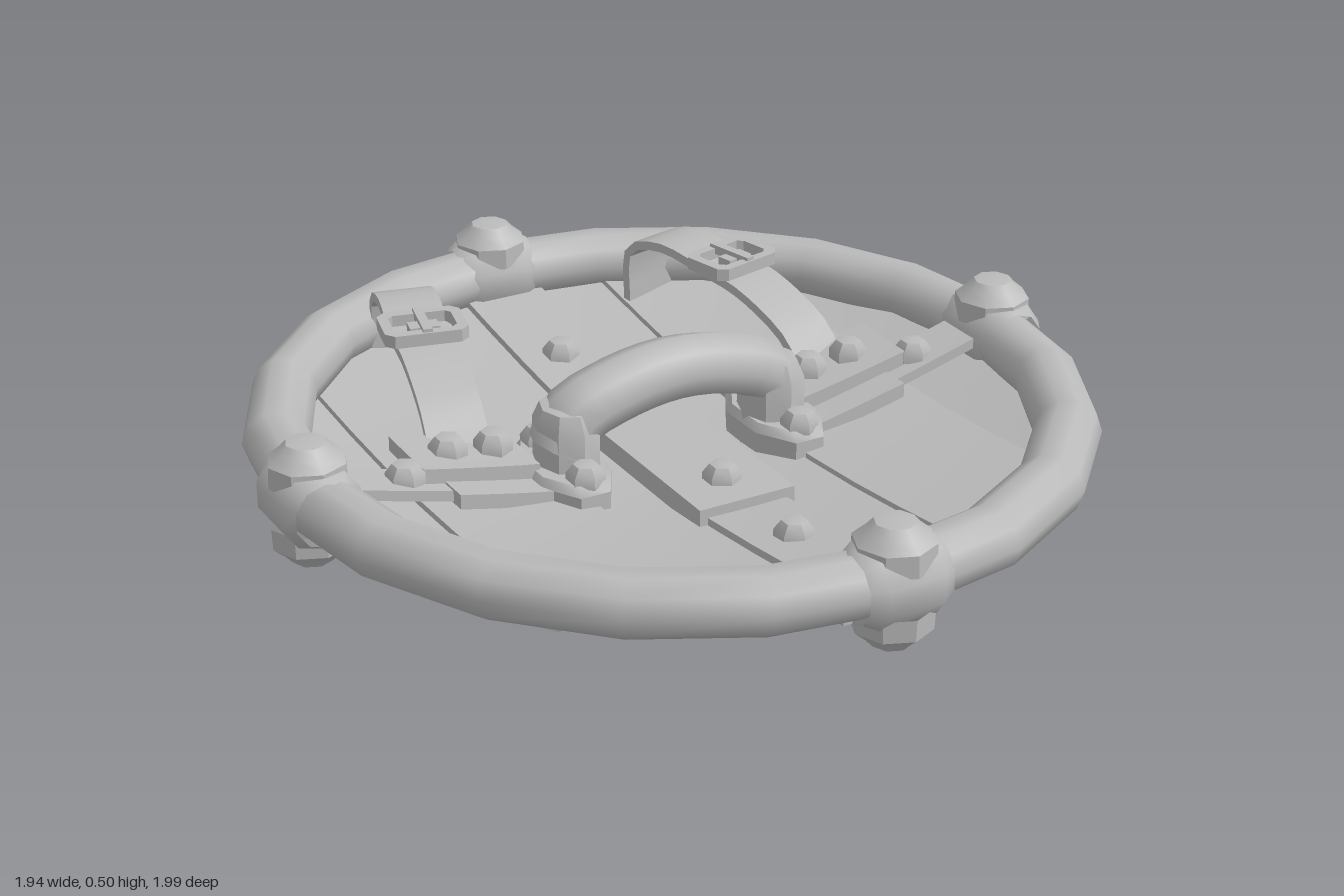
import * as THREE from 'three';
import { toCreasedNormals } from 'three/addons/utils/BufferGeometryUtils.js';

const RX = 0.878, RZ = 0.904, RIM_Y = 0.33;
const grey = new THREE.MeshStandardMaterial({ color: 0xbababa });
grey.name = 'plain grey';

// Height of the dished board surface
const dish = (x, z) => 0.19 + 0.1 * Math.pow(Math.hypot(x, z) / 0.9, 1.5);

export function createModel() {
  const root = new THREE.Group();
  root.name = 'roundShield';

  function add(name, geo, x = 0, y = 0, z = 0, parent = root, crease = 0.65) {
    const mesh = new THREE.Mesh(toCreasedNormals(geo, crease), grey);
    mesh.name = name;
    mesh.position.set(x, y, z);
    parent.add(mesh);
    return mesh;
  }

  const lathe = (pts, sides) =>
    new THREE.LatheGeometry(pts.map(p => new THREE.Vector2(p[0], p[1])), sides);

  // Slab bent to the dish and trimmed to the rim; tilt steepens it towards the sides
  function slab(name, x0, x1, z0, z1, lift, thick, tilt = 0, from = 0.62) {
    const g = new THREE.BoxGeometry(1, 1, 1, 6, 1, 10);
    const p = g.attributes.position;
    for (let i = 0; i < p.count; i++) {
      const x = x0 + (x1 - x0) * (p.getX(i) + 0.5);
      const edge = RZ * Math.sqrt(Math.max(0, 1 - (x / RX) ** 2));
      const z = THREE.MathUtils.clamp(z0 + (z1 - z0) * (p.getZ(i) + 0.5), -edge, edge);
      const rise = tilt * Math.max(0, Math.abs(x) - from);
      p.setXYZ(i, x, dish(x, z) + lift + rise + thick * (p.getY(i) - 0.5), z);
    }
    return add(name, g);
  }

  // Boards, the outermost two leaning up to the rim
  slab('middleBoard', -0.262, 0.262, -0.9, 0.9, 0, 0.03);
  for (const s of [-1, 1]) {
    slab('innerBoard', s * 0.445 - 0.18, s * 0.445 + 0.18, -0.9, 0.9, 0.01, 0.034);
    slab('outerBoard', s * 0.745 - 0.128, s * 0.745 + 0.128, -0.9, 0.9, -0.006, 0.034, 0.17);
  }

  // Rim: softly faceted ring
  const rim = new THREE.TorusGeometry(1, 0.076, 10, 20);
  rim.rotateX(Math.PI / 2);
  const rp = rim.attributes.position;
  for (let i = 0; i < rp.count; i++) {
    const x = rp.getX(i), z = rp.getZ(i), r = Math.hypot(x, z), off = r - 1;
    rp.setXYZ(i, (x / r) * (RX + off), RIM_Y + rp.getY(i) * 0.95, (z / r) * (RZ + off));
  }
  add('rim', rim, 0, 0, 0, root, 1.0);

  // Cross straps, inside and outside
  slab('innerLongStrap', -0.1, 0.1, -0.88, 0.88, 0.018, 0.025);
  slab('outerLongStrap', -0.1, 0.1, -0.88, 0.88, -0.028, 0.025);
  slab('outerCrossStrap', -0.87, 0.87, -0.09, 0.09, -0.028, 0.025);

  // Rivets
  const rivetPts = [[0.044, -0.01], [0.044, 0.015], [0.028, 0.036], [0, 0.042]];
  const rivet = (x, y, z) => add('rivet', lathe(rivetPts, 6), x, y, z);
  for (const z of [-0.53, 0.53]) rivet(0, dish(0, z) + 0.018, z);
  for (const z of [-0.23, 0.23]) rivet(0, 0.255, z);
  for (const [x, z] of [[-0.47, 0], [0.47, 0], [0, 0.33], [0, -0.43]]) {
    const m = add('outerRivet', lathe([[0.06, -0.01], [0.06, 0.015], [0.04, 0.038], [0, 0.044]], 8),
      x, dish(x, z) - 0.05, z);
    m.rotation.x = Math.PI;
  }

  // Centre plate and grip
  add('gripPlate', new THREE.BoxGeometry(0.24, 0.05, 0.68), 0, 0.23, 0);
  const grip = new THREE.CatmullRomCurve3([[-0.28, 0.3], [-0.25, 0.365], [-0.14, 0.41], [0, 0.43],
    [0.14, 0.41], [0.25, 0.365], [0.28, 0.3]].map(p => new THREE.Vector3(p[0], p[1], 0)));
  add('grip', new THREE.TubeGeometry(grip, 16, 0.072, 8), 0, 0, 0, root, 1.0).scale.z = 1.15;

  for (const s of [-1, 1]) {
    // Grip socket on its bolted base
    const post = lathe([[0.1, 0.2], [0.09, 0.28], [0.09, 0.36], [0.07, 0.4], [0, 0.41]], 8);
    add('gripSocket', post, s * 0.265, 0, 0).scale.x = 0.8;
    const base = lathe([[0.17, 0.2], [0.17, 0.25], [0.15, 0.27], [0, 0.27]], 8);
    base.rotateY(Math.PI / 8);
    add('socketBase', base, s * 0.275, 0, 0).scale.x = 0.56;
    for (const z of [-0.11, 0.11]) rivet(s * 0.275, 0.27, z);

    // Side band with its riveted tab
    const ends = (a, b) => (s > 0 ? [a, b] : [-b, -a]);
    slab('innerCrossStrap', ...ends(0.3, 0.87), -0.06, 0.06, 0.025, 0.025, 0.12, 0.35);
    slab('sideBand', ...ends(0.3, 0.57), -0.1, 0.095, 0.035, 0.035, 0.1, 0.35);
    slab('strapTab', ...ends(0.34, 0.62), -0.16, 0.02, 0.07, 0.035, 0.08, 0.35);
    for (const x of [0.41, 0.52]) rivet(s * x, dish(x, 0.07) + 0.085, -0.07);
    rivet(s * 0.655, dish(0.655, 0) + 0.065, 0);

    // Leather arm strap swept along an arch
    const path = new THREE.CatmullRomCurve3([[0.47, 0.29, -0.12], [0.46, 0.35, -0.17],
      [0.43, 0.415, -0.32], [0.405, 0.432, -0.45], [0.365, 0.45, -0.6], [0.34, 0.41, -0.7],
      [0.34, 0.27, -0.71]].map(p => new THREE.Vector3(s * p[0], p[1], p[2])));
    const g = new THREE.BoxGeometry(0.14, 0.022, 1, 1, 1, 18);
    const p = g.attributes.position;
    const side = new THREE.Vector3(0.97, 0, -0.235 * s);
    for (let i = 0; i < p.count; i++) {
      const t = p.getZ(i) + 0.5;
      const n = path.getTangentAt(t).cross(side).normalize();
      const v = path.getPointAt(t).addScaledVector(side, p.getX(i)).addScaledVector(n, p.getY(i));
      p.setXYZ(i, v.x, v.y, v.z);
    }
    add('armStrap', g);

    // Buckle
    const buckle = new THREE.Group();
    buckle.name = 'buckle';
    buckle.position.set(s * 0.41, 0.442, -0.42);
    buckle.rotation.y = s * 0.235;
    root.add(buckle);
    const rect = (outline, w, h, c) => outline.setFromPoints(
      [[w - c, -h], [w, -h + c], [w, h - c], [w - c, h], [-w + c, h], [-w, h - c],
        [-w, -h + c], [-w + c, -h]].map(q => new THREE.Vector2(...q)));
    const frame = rect(new THREE.Shape(), 0.097, 0.07, 0.02);
    frame.holes.push(rect(new THREE.Path(), 0.073, 0.046, 0.012));
    const fg = new THREE.ExtrudeGeometry(frame, { depth: 0.03, bevelEnabled: false });
    fg.rotateX(-Math.PI / 2);
    add('buckleFrame', fg, 0, 0, 0, buckle);
    add('bucklePin', new THREE.BoxGeometry(0.022, 0.022, 0.13), 0, 0.027, 0, buckle);
    add('buckleBar', new THREE.BoxGeometry(0.07, 0.024, 0.04), 0, 0.015, 0.01, buckle);
  }

  // Rim clasps with a domed stud above and below
  for (let k = 0; k < 4; k++) {
    const clasp = new THREE.Group();
    clasp.name = 'rimClasp';
    const r = k % 2 ? RZ : RX;
    clasp.rotation.y = k * Math.PI / 2;
    clasp.position.set(r * Math.cos(k * Math.PI / 2), RIM_Y, -r * Math.sin(k * Math.PI / 2));
    root.add(clasp);
    const collar = lathe([[0.075, -0.1], [0.096, -0.065], [0.096, 0.065], [0.075, 0.1]], 10);
    collar.rotateX(Math.PI / 2);
    add('collar', collar, 0, 0, 0, clasp, 0.9);
    const stud = [[0.09, 0.04], [0.088, 0.09], [0.062, 0.112], [0.045, 0.131], [0, 0.138]];
    add('topStud', lathe(stud, 8), 0, 0, 0, clasp);
    add('bottomStud', lathe(stud, 8), 0, -0.015, 0, clasp).rotation.x = Math.PI;
  }

  // Boss on the outer face
  add('boss', lathe([[0, 0], [0.07, 0.008], [0.125, 0.032], [0.15, 0.062], [0.205, 0.062],
    [0.28, 0.14], [0.28, 0.18]], 10));

  // Loose splintered boards on the outer face
  const splinters = [[0.4, 0.185, 0.5, 0.14, 0.36, 0.25], [-0.4, 0.2, 0.5, 0.1, 0.28, -0.35],
    [-0.64, 0.235, 0.3, 0.06, 0.2, 0.4]];
  for (const [x, y, z, w, l, turn] of splinters) {
    const m = add('splinter', new THREE.BoxGeometry(w, 0.03, l), x, y, z);
    m.rotation.set(-0.13, turn, x * 0.25);
  }

  // Small crusty lumps on the outer face
  let seed = 7;
  const rnd = () => (seed = (seed * 16807) % 2147483647) / 2147483647;
  const clusters = [[0.6, -0.5, 0.09, 16], [-0.45, -0.62, 0.09, 14], [0.2, 0.23, 0.05, 8],
    [-0.19, -0.23, 0.05, 8], [0.2, -0.22, 0.05, 8], [-0.2, 0.22, 0.05, 8]];
  for (const [cx, cz, spread, n] of clusters) {
    for (let i = 0; i < n; i++) {
      const x = cx + (rnd() * 2 - 1) * spread, z = cz + (rnd() * 2 - 1) * spread;
      add('lump', new THREE.IcosahedronGeometry(0.008 + rnd() * 0.011, 0), x, dish(x, z) - 0.024, z);
    }
  }
  return root;
}
